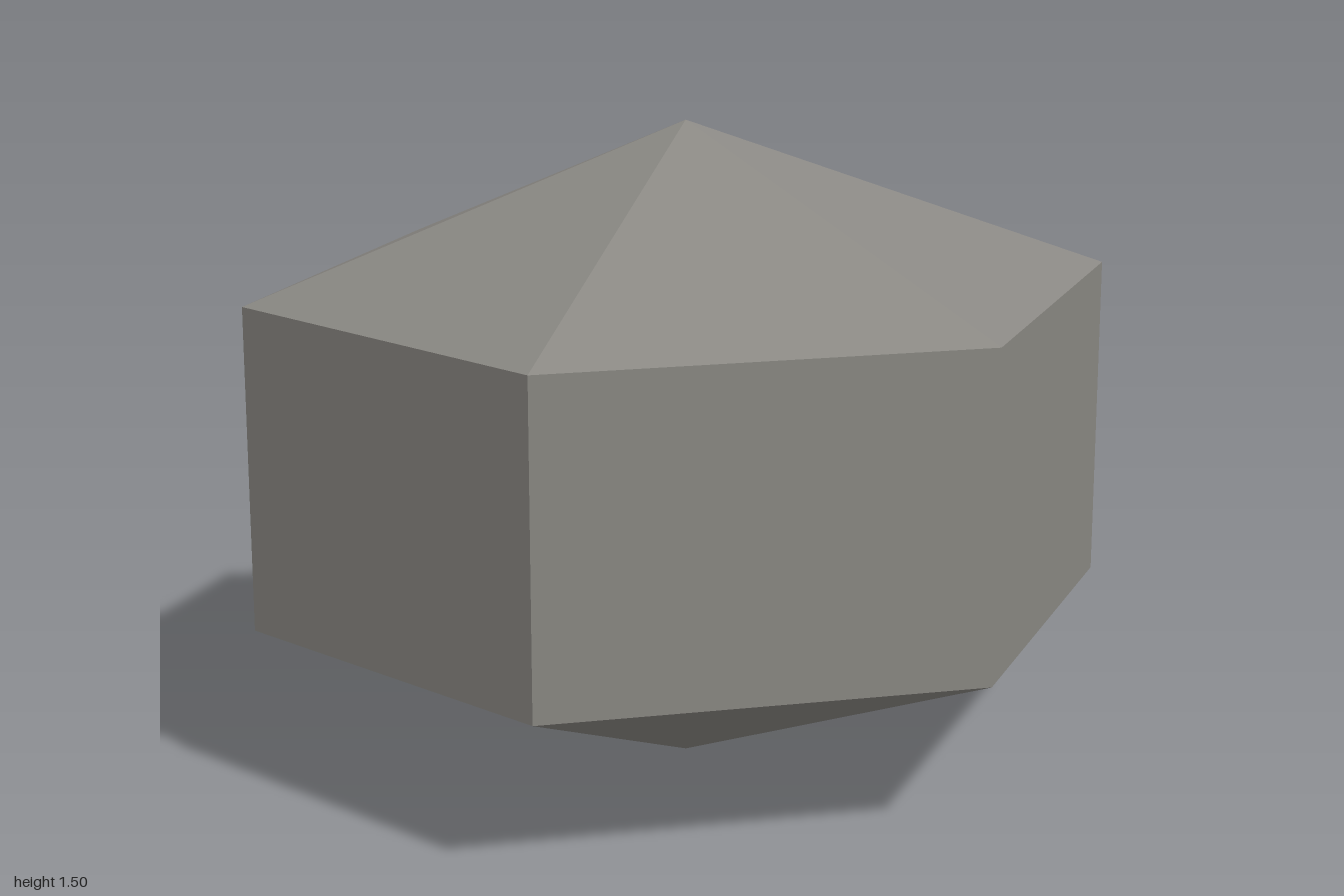
import * as THREE from 'three';

const SIDES = 6;
const BAND_HEIGHT = 0.75;
const CAP_HEIGHT = 0.375;
const DEPTH_SCALE = 0.735 / Math.sin(Math.PI / 3);

export function createModel() {
  const group = new THREE.Group();
  group.name = 'hexagonalCrystal';

  const stone = new THREE.MeshStandardMaterial({ color: 0x8a8883, flatShading: true });
  stone.name = 'warm grey stone';

  // Adds an open six-sided section with corners on the x axis, flattened in z
  function addSection(name, topRadius, bottomRadius, height, y) {
    const geometry = new THREE.CylinderGeometry(
      topRadius, bottomRadius, height, SIDES, 1, true, Math.PI / 2
    );
    geometry.scale(1, 1, DEPTH_SCALE);
    geometry.translate(0, y + height / 2, 0);
    const mesh = new THREE.Mesh(geometry, stone);
    mesh.name = name;
    group.add(mesh);
  }

  // Lower point, upright band and upper point, stacked from the ground
  addSection('lowerPoint', 1, 0, CAP_HEIGHT, 0);
  addSection('middleBand', 1, 1, BAND_HEIGHT, CAP_HEIGHT);
  addSection('upperPoint', 0, 1, CAP_HEIGHT, CAP_HEIGHT + BAND_HEIGHT);

  return group;
}
